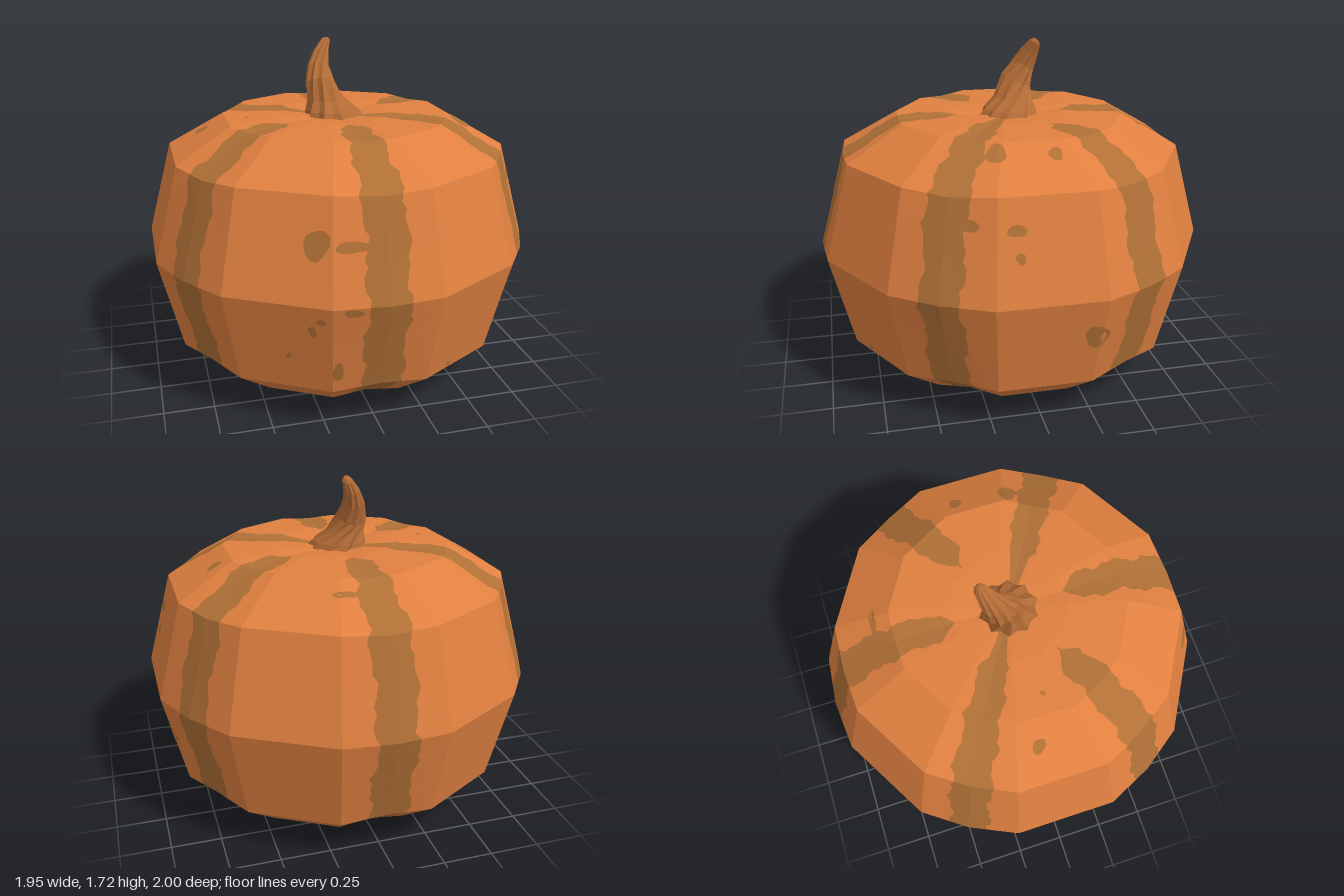
import * as THREE from 'three';

// Profile rings from the underside centre to the top centre:
// [lobe radius, lobe height, groove radius, groove height]
const RINGS = [
  [0, 0.04, 0, 0.04], [0.2, 0.02, 0.19, 0.03], [0.42, 0, 0.4, 0.012],
  [0.66, 0.045, 0.63, 0.06], [0.89, 0.22, 0.87, 0.24], [1.01, 0.7, 1, 0.7],
  [0.88, 1.18, 0.865, 1.165], [0.59, 1.345, 0.575, 1.335],
  [0.29, 1.355, 0.275, 1.345], [0, 1.33, 0, 1.33],
];
const RAD = Math.PI / 180;

// Ring corner: angle in degrees from the front, fractional ring index v
function corner(deg, v, groove) {
  const i = Math.min(Math.floor(v), RINGS.length - 2), f = v - i, o = groove ? 2 : 0;
  const r = THREE.MathUtils.lerp(RINGS[i][o], RINGS[i + 1][o], f);
  const y = THREE.MathUtils.lerp(RINGS[i][o + 1], RINGS[i + 1][o + 1], f);
  return new THREE.Vector3(r * Math.sin(deg * RAD), y, r * Math.cos(deg * RAD));
}

// Point on the faceted skin: grooves every 60 degrees, lobe corners 15 degrees either side
function skinPoint(deg, v) {
  const groove = Math.round(deg / 60) * 60, a = deg - groove, s = a < 0 ? -1 : 1;
  const edge = corner(groove + s * 15, v, false);
  if (Math.abs(a) <= 15) return corner(groove, v, true).lerp(edge, Math.abs(a) / 15);
  return edge.lerp(corner(groove + s * 45, v, false), (Math.abs(a) - 15) / 30);
}

// Flat-shaded mesh from a list of points, three per triangle
function triMesh(points, material, name) {
  const g = new THREE.BufferGeometry().setFromPoints(points);
  g.computeVertexNormals();
  const m = new THREE.Mesh(g, material);
  m.name = name;
  return m;
}

function quad(list, a, b, c, d) {
  list.push(a, b, c, a, c, d);
}

// Ragged half-width of a stripe, as a fraction of the groove-to-corner panel
function stripeEdge(k, side, v) {
  const r = corner(0, v, false).x + corner(0, v, false).z;
  const p = k * 2.3 + side * 1.7;
  const jag = 0.012 * Math.sin(v * 9 + p) + 0.008 * Math.sin(v * 23 + p * 3) + 0.005 * Math.sin(v * 47 + p * 5);
  let w = 0.1 + jag;
  if (v < 4) w *= 0.65 + 0.0875 * v;
  if (v > 6) w *= 1 - 0.17 * (v - 6);
  const end = 8 + 0.2 * Math.sin(k * 2.1);
  w *= THREE.MathUtils.clamp((end - v) / 0.25, 0, 1);
  return Math.min(w / Math.max(r * 0.262, 0.001), 1);
}

function buildBody(skinMat, stripeMat) {
  const skin = [], stripe = [];
  const rows = [1, 3, 4, 6, 14, 14, 10, 10, 1];
  for (let k = 0; k < 6; k++) {
    const mid = k * 60;
    rows.forEach((n, band) => {
      // Broad flat panel in the middle of each lobe
      quad(band === 0 ? stripe : skin,
        corner(mid + 15, band, false), corner(mid + 45, band, false),
        corner(mid + 45, band + 1, false), corner(mid + 15, band + 1, false));
      // Panels beside the groove, divided along the ragged stripe edge
      for (let j = 0; j < n; j++) {
        const v0 = band + j / n, v1 = band + (j + 1) / n;
        for (const side of [-1, 1]) {
          const at = (t, v) => corner(mid, v, true).lerp(corner(mid + side * 15, v, false), t);
          const e0 = stripeEdge(k, side, v0), e1 = stripeEdge(k, side, v1);
          const strip = (list, a0, b0, a1, b1) => {
            if (b0 - a0 < 1e-5 && b1 - a1 < 1e-5) return;
            if (side > 0) quad(list, at(a0, v0), at(b0, v0), at(b1, v1), at(a1, v1));
            else quad(list, at(b0, v0), at(a0, v0), at(a1, v1), at(b1, v1));
          };
          strip(stripe, 0, e0, 0, e1);
          strip(skin, e0, 1, e1, 1);
        }
      }
    });
  }
  const body = new THREE.Group();
  body.name = 'body';
  body.add(triMesh(skin, skinMat, 'skin'), triMesh(stripe, stripeMat, 'grooveStripes'));
  return body;
}

// Irregular blotches: [angle, ring position, half-width, half-height]
const SPOTS = [
  [-19.5, 5.56, 0.06, 0.07], [-9.5, 5.55, 0.075, 0.03], [-18, 4.85, 0.02, 0.02],
  [-20.5, 4.73, 0.02, 0.03], [-9.5, 4.95, 0.05, 0.02], [-13.5, 4.25, 0.03, 0.05],
  [-28, 4.4, 0.014, 0.015], [25, 4.06, 0.015, 0.015], [80.5, 5.7, 0.04, 0.03],
  [81.5, 5.45, 0.022, 0.028], [103.5, 4.58, 0.07, 0.06], [73, 6.78, 0.055, 0.055],
  [97, 6.72, 0.035, 0.04], [-96, 6.58, 0.032, 0.04], [167.4, 6.7, 0.06, 0.022],
  [66, 5.75, 0.06, 0.03], [-88, 7.35, 0.012, 0.012],
];

function buildSpots(material) {
  const pts = [], n = 12;
  SPOTS.forEach(([deg, v, hw, hh], s) => {
    const c = skinPoint(deg, v);
    const r = Math.hypot(c.x, c.z);
    const band = corner(0, Math.floor(v), false).distanceTo(corner(0, Math.floor(v) + 1, false));
    // Outward normal lifts the plate slightly off the skin
    const du = skinPoint(deg + 0.1, v).sub(c), dv = skinPoint(deg, v + 0.01).sub(c);
    const lift = du.cross(dv).normalize().multiplyScalar(0.004);
    const rim = i => {
      const a = (i % n) / n * Math.PI * 2;
      const k = 1 + 0.14 * Math.sin(2 * a + s) + 0.1 * Math.sin(3 * a + s * 2);
      return skinPoint(deg + Math.cos(a) * hw * k / r / RAD, v + Math.sin(a) * hh * k / band).add(lift);
    };
    c.add(lift);
    for (let i = 0; i < n; i++) pts.push(c, rim(i), rim(i + 1));
  });
  return triMesh(pts, material, 'spots');
}

// Fluted, twisting stem: [x, y, z, radius, twist]
const STEM = [
  [0, 1.325, 0, 0.16, 0], [-0.012, 1.365, -0.008, 0.14, 0.1], [-0.04, 1.42, -0.03, 0.1, 0.3],
  [-0.068, 1.5, -0.056, 0.076, 0.55], [-0.068, 1.58, -0.092, 0.056, 0.8],
  [-0.045, 1.65, -0.122, 0.042, 1], [-0.018, 1.7, -0.143, 0.028, 1.15], [-0.014, 1.715, -0.147, 0.016, 1.2],
];

function buildStem(material) {
  const pts = [], n = 20;
  const at = (k, i) => {
    const [x, y, z, r, tw] = STEM[k];
    const a = i / n * Math.PI * 2 + tw, q = r * (i % 2 ? 0.84 : 1);
    // Upper rings lean with the curve
    const tilt = k > 2 ? 0.5 : 0;
    return new THREE.Vector3(x + q * Math.sin(a), y + tilt * q * Math.cos(a), z + q * Math.cos(a));
  };
  for (let i = 0; i < n; i++) {
    for (let k = 0; k < STEM.length - 1; k++) quad(pts, at(k, i), at(k, i + 1), at(k + 1, i + 1), at(k + 1, i));
    const last = STEM.length - 1;
    pts.push(at(last, i), at(last, i + 1), new THREE.Vector3(-0.013, 1.72, -0.149));
  }
  return triMesh(pts, material, 'stem');
}

export function createModel() {
  const mat = (name, color) => {
    const m = new THREE.MeshStandardMaterial({ color });
    m.name = name;
    return m;
  };
  const orange = mat('orange skin', 0xe08040);
  const brown = mat('brown stripe', 0xb07036);
  const stemBrown = mat('stem brown', 0xb46c36);

  const model = new THREE.Group();
  model.name = 'pumpkin';
  model.add(buildBody(orange, brown), buildSpots(brown), buildStem(stemBrown));
  return model;
}
